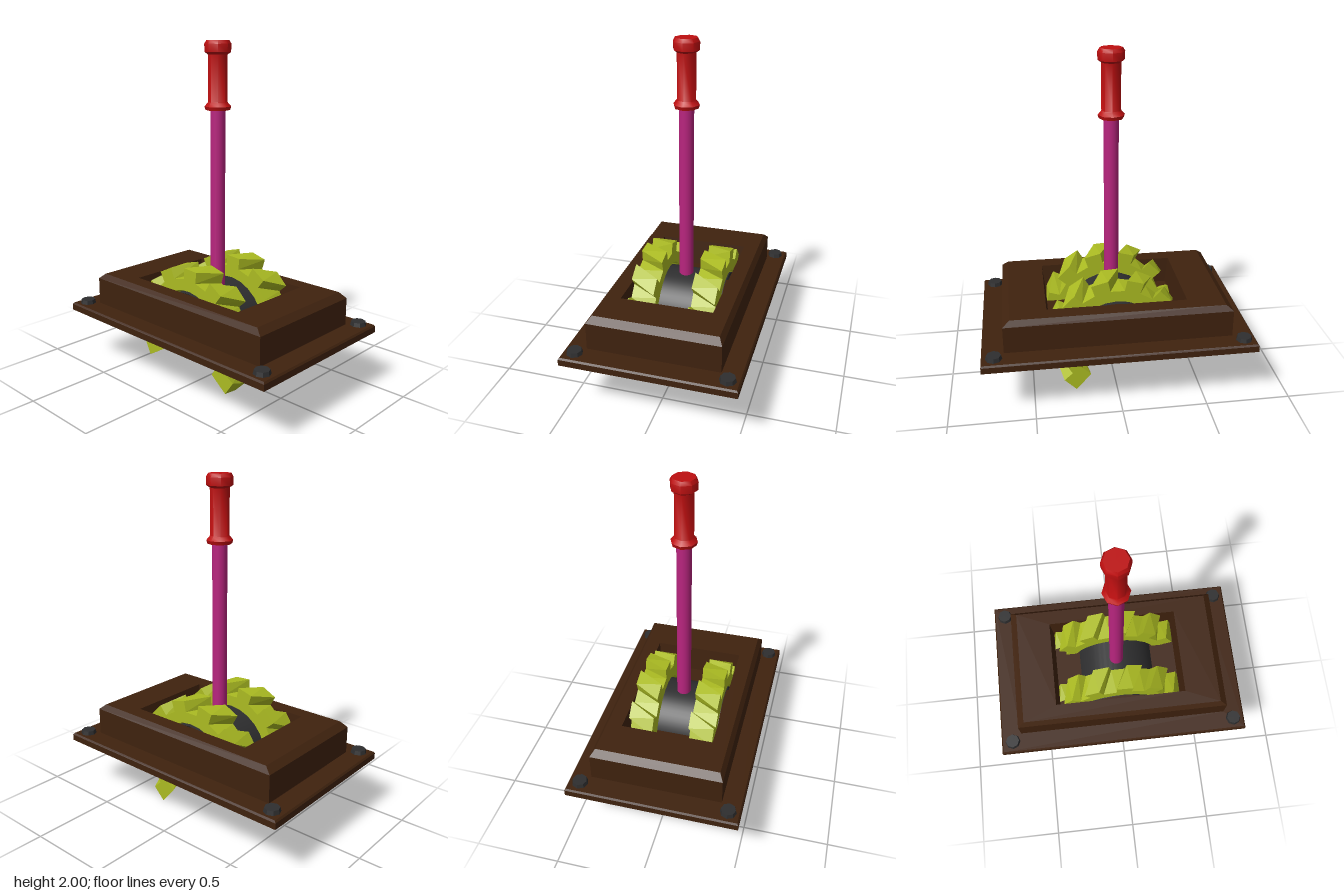
import * as THREE from 'three';
import { toCreasedNormals } from 'three/addons/utils/BufferGeometryUtils.js';

const mat = (name, color, side = THREE.FrontSide) => {
  const m = new THREE.MeshStandardMaterial({ color, side });
  m.name = name;
  return m;
};

// Stack of rectangular loops [halfX, halfZ, y] joined by flat quads
function rectLoft(loops) {
  const corners = [[1, 1], [1, -1], [-1, -1], [-1, 1]];
  const pt = (l, i) => {
    const [sx, sz] = corners[i % 4];
    return [sx * l[0], l[2], sz * l[1]];
  };
  const pos = [];
  for (let k = 0; k < loops.length - 1; k++) {
    for (let i = 0; i < 4; i++) {
      const a = pt(loops[k], i), b = pt(loops[k], i + 1);
      const c = pt(loops[k + 1], i + 1), d = pt(loops[k + 1], i);
      pos.push(...a, ...b, ...c, ...a, ...c, ...d);
    }
  }
  const g = new THREE.BufferGeometry();
  g.setAttribute('position', new THREE.Float32BufferAttribute(pos, 3));
  g.computeVertexNormals();
  return g;
}

// Partial gear ring with nine slanted teeth
function gearGeometry(depth) {
  const rad = THREE.MathUtils.degToRad;
  const polar = (r, deg) => new THREE.Vector2(r * Math.cos(rad(deg)), r * Math.sin(rad(deg)));
  const tip = 0.405, root = 0.338, inner = 0.27, first = -34.5, pitch = 30.2;
  const pts = [];
  for (let i = 0; i < 9; i++) {
    const a = first + i * pitch;
    pts.push(polar(root, a - 8), polar(tip, a - 7.2), polar(tip, a + 7.2), polar(root, a + 8));
  }
  const start = first - 9, end = first + 8 * pitch + 9;
  for (let i = 0; i <= 18; i++) pts.push(polar(inner, end + (start - end) * i / 18));
  const g = new THREE.ExtrudeGeometry(new THREE.Shape(pts), { depth, bevelEnabled: false });
  // Twist along the axle
  const p = g.attributes.position;
  for (let i = 0; i < p.count; i++) {
    const t = -rad(11) * (1 - p.getZ(i) / depth);
    const x = p.getX(i), y = p.getY(i);
    p.setXY(i, x * Math.cos(t) - y * Math.sin(t), x * Math.sin(t) + y * Math.cos(t));
  }
  g.computeVertexNormals();
  return g;
}

export function createModel() {
  const root = new THREE.Group();
  root.name = 'lever';
  const brown = mat('dark brown', 0x3f220e, THREE.DoubleSide);
  const green = mat('yellow green', 0xabbb22);
  const magenta = mat('magenta', 0xb9257f);
  const red = mat('red', 0xbe0f10);
  const iron = mat('dark grey', 0x2e2e2f, THREE.DoubleSide);

  const add = (name, geo, material, x = 0, y = 0, z = 0) => {
    const m = new THREE.Mesh(geo, material);
    m.name = name;
    m.position.set(x, y, z);
    root.add(m);
    return m;
  };

  // Hollow housing: flange, raised body, chamfer and sunken pocket
  add('housing', rectLoft([
    [0.79, 0.503, 0.34], [0.79, 0.503, 0.377], [0.782, 0.495, 0.387],
    [0.662, 0.385, 0.387], [0.662, 0.385, 0.55], [0.622, 0.362, 0.583],
    [0.41, 0.272, 0.583], [0.392, 0.262, 0.42],
  ]), brown);
  const floor = new THREE.PlaneGeometry(0.784, 0.524);
  floor.rotateX(-Math.PI / 2);
  add('pocketFloor', floor, brown, 0, 0.42, 0);

  // Corner bolts
  const bolt = toCreasedNormals(new THREE.CylinderGeometry(0.042, 0.048, 0.026, 8), 0.5);
  for (const sx of [-1, 1]) {
    for (const sz of [-1, 1]) add('bolt', bolt, iron, sx * 0.718, 0.398, sz * 0.433);
  }

  // Twin gear rings
  const axleY = 0.325, gear = gearGeometry(0.15);
  add('frontGear', gear, green, 0, axleY, 0.107);
  add('backGear', gear, green, 0, axleY, -0.257);

  // Arched sheet between the gears
  const r = 0.253, halfW = 0.257, arch = [[r, -0.06]];
  for (let i = 0; i <= 24; i++) {
    const a = Math.PI * i / 24;
    arch.push([r * Math.cos(a), r * Math.sin(a)]);
  }
  arch.push([-r, -0.06]);
  const pos = [], idx = [];
  arch.forEach(([x, y], i) => {
    pos.push(x, y, halfW, x, y, -halfW);
    if (i) {
      const k = 2 * i;
      idx.push(k - 2, k - 1, k, k - 1, k + 1, k);
    }
  });
  const archGeo = new THREE.BufferGeometry();
  archGeo.setAttribute('position', new THREE.Float32BufferAttribute(pos, 3));
  archGeo.setIndex(idx);
  archGeo.computeVertexNormals();
  add('drumCover', archGeo, iron, 0, axleY, 0);

  // Shaft
  add('shaft', new THREE.CylinderGeometry(0.043, 0.043, 1.12, 16), magenta, 0, 1.07, 0);

  // Grip with collar and knob
  const profile = [
    [0, 1.615], [0.07, 1.615], [0.076, 1.635], [0.058, 1.656], [0.055, 1.66],
    [0.055, 1.922], [0.074, 1.935], [0.076, 1.98], [0.064, 2], [0, 2],
  ].map(([x, y]) => new THREE.Vector2(x, y));
  add('grip', toCreasedNormals(new THREE.LatheGeometry(profile, 8), 0.8), red);

  return root;
}
